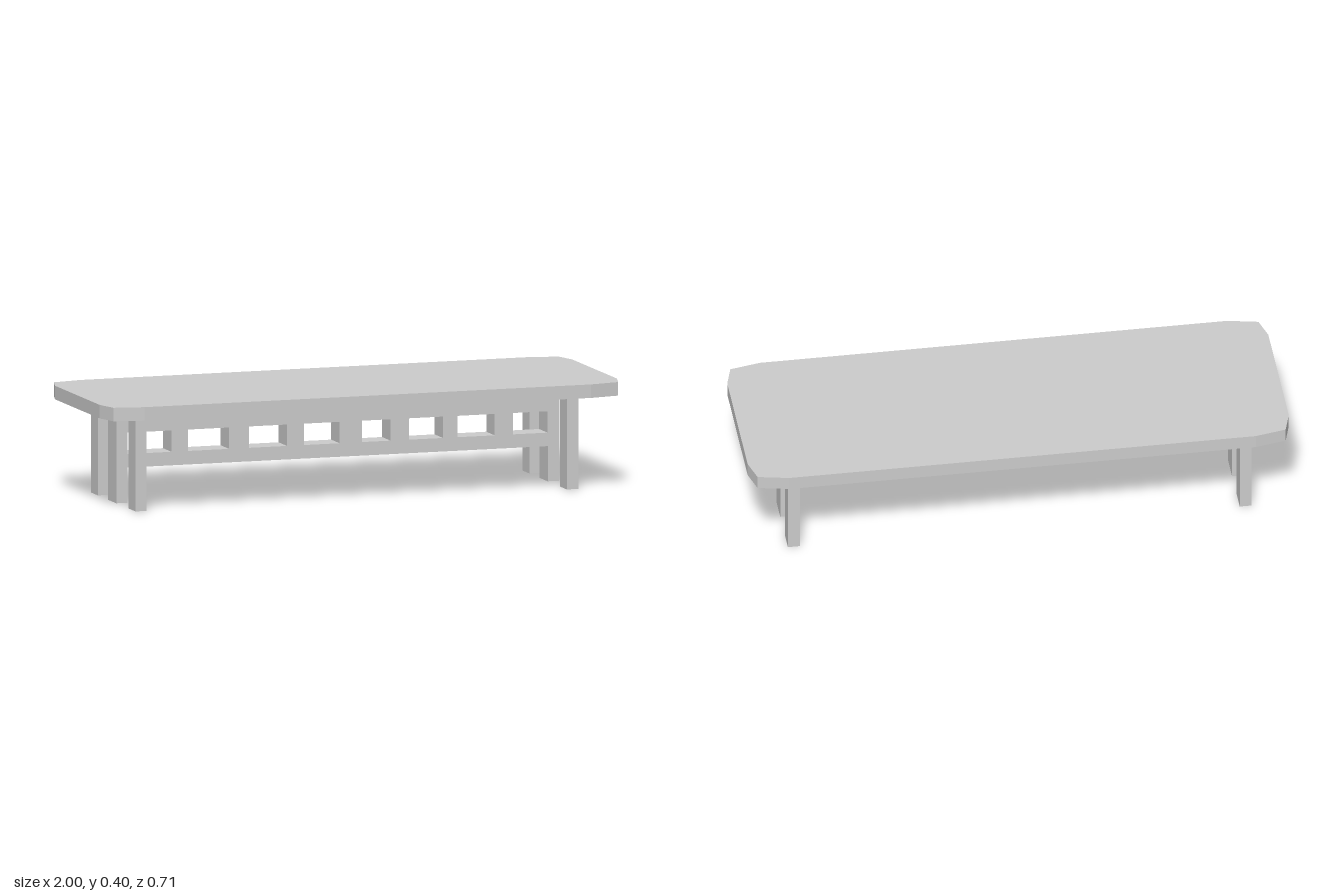
import * as THREE from 'three';

const material = new THREE.MeshStandardMaterial({ color: 0xcccccc, flatShading: true });

function addMesh(parent, name, geometry) {
  const mesh = new THREE.Mesh(geometry, material);
  mesh.name = name;
  parent.add(mesh);
  return mesh;
}

// Box given by its minimum and maximum on each axis
function addBox(parent, name, [x0, x1], [y0, y1], [z0, z1]) {
  const mesh = addMesh(parent, name, new THREE.BoxGeometry(x1 - x0, y1 - y0, z1 - z0));
  mesh.position.set((x0 + x1) / 2, (y0 + y1) / 2, (z0 + z1) / 2);
}

function rectangle(x0, x1, y0, y1) {
  return [[x0, y0], [x1, y0], [x1, y1], [x0, y1]].map(([x, y]) => new THREE.Vector2(x, y));
}

export function createModel() {
  const group = new THREE.Group();
  group.name = 'bench';
  const topY = 0.4, underY = 0.35;

  // Seat slab with faceted corners
  const corner = [[1, 0.25], [0.976, 0.334], [0.863, 0.357]];
  const reversed = [...corner].reverse();
  const outline = [
    ...corner,
    ...reversed.map(([x, z]) => [-x, z]),
    ...corner.map(([x, z]) => [-x, -z]),
    ...reversed.map(([x, z]) => [x, -z]),
  ].map(([x, z]) => new THREE.Vector2(x, z));
  const slab = new THREE.ExtrudeGeometry(new THREE.Shape(outline), { depth: topY - underY, bevelEnabled: false });
  slab.rotateX(-Math.PI / 2);
  addMesh(group, 'seat', slab).position.y = underY;

  // Three legs at each end
  const ends = { left: [0.805, 0.85], right: [-0.863, -0.82] };
  const rows = { Front: [0.175, 0.253], Middle: [-0.055, 0.04], Back: [-0.243, -0.167] };
  for (const [side, xs] of Object.entries(ends)) {
    for (const [row, zs] of Object.entries(rows)) {
      addBox(group, `${side}${row}Leg`, xs, [0, underY], zs);
    }
  }

  // Central stretcher: two rails joined by uprights, cut as one ladder with windows
  const [x0, x1] = [ends.right[1], ends.left[0]];
  const [z0, z1] = rows.Middle;
  const uprights = [
    [-0.65, -0.587], [-0.427, -0.35], [-0.203, -0.137], [0, 0.087],
    [0.197, 0.268], [0.4, 0.456], [0.6, 0.67],
  ];
  const ladder = new THREE.Shape(rectangle(x0, x1, 0.13, 0.302));
  uprights.slice(1).forEach(([next], i) => {
    ladder.holes.push(new THREE.Path(rectangle(uprights[i][1], next, 0.18, 0.259)));
  });
  const stretcher = new THREE.Group();
  stretcher.name = 'stretcher';
  group.add(stretcher);
  // The two end windows are open to the legs, so their holes stop at the leg faces
  const inset = 0.0005;
  ladder.holes.push(new THREE.Path(rectangle(x0 + inset, uprights[0][0], 0.18, 0.259)));
  ladder.holes.push(new THREE.Path(rectangle(uprights.at(-1)[1], x1 - inset, 0.18, 0.259)));
  addMesh(stretcher, 'ladderFrame', new THREE.ExtrudeGeometry(ladder, { depth: z1 - z0, bevelEnabled: false })).position.z = z0;

  return group;
}
